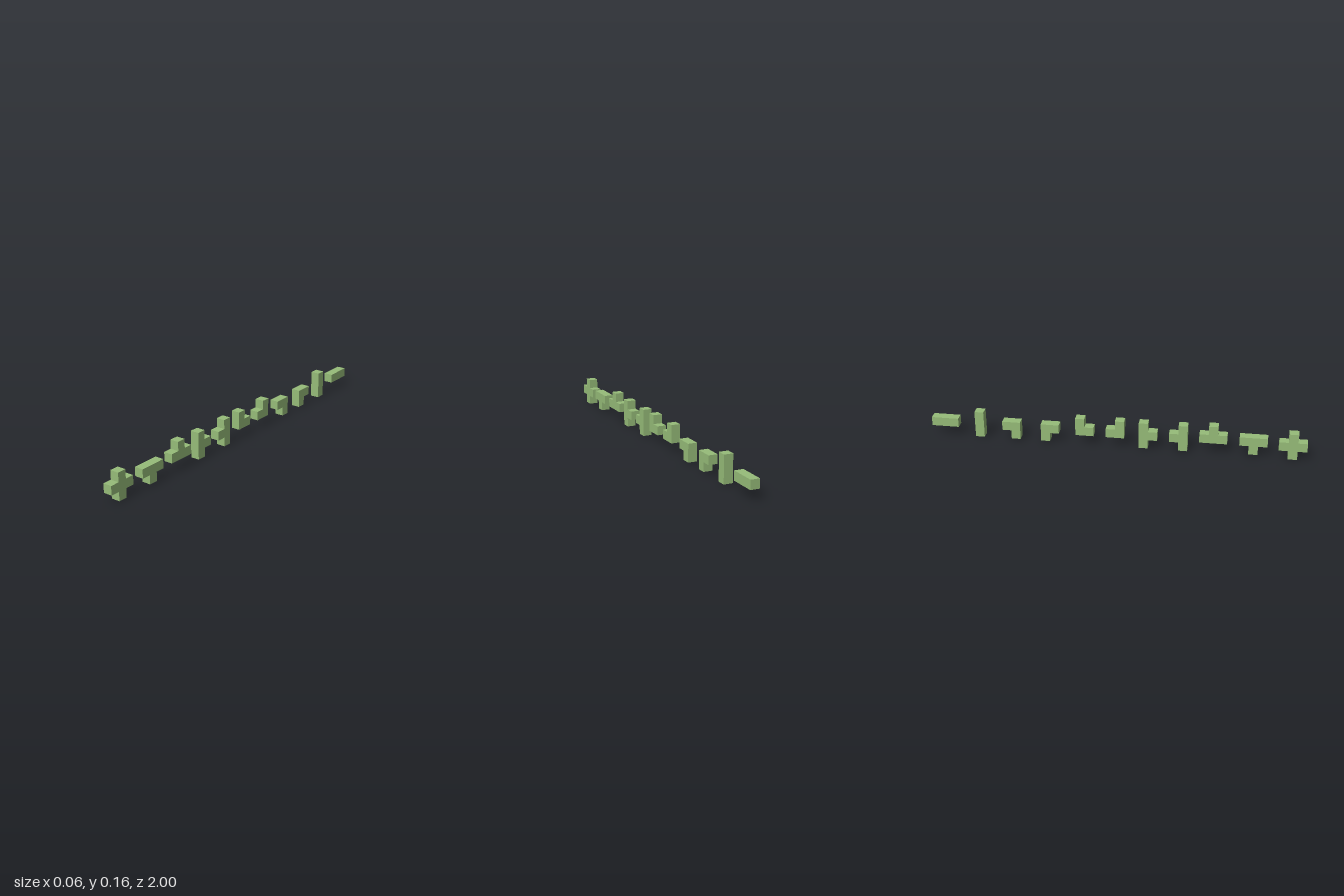
import * as THREE from 'three';

const CELL = 0.0487; // side of one square cell

// Outlines in cells: first number runs along z, second along y
const outlines = {
  cross: [[1, 0], [2, 0], [2, 1], [3, 1], [3, 2], [2, 2], [2, 3], [1, 3], [1, 2], [0, 2], [0, 1], [1, 1]],
  tee: [[1, 0], [2, 0], [2, 1], [3, 1], [3, 2], [0, 2], [0, 1], [1, 1]],
  invertedTee: [[0, 0], [3, 0], [3, 1], [2, 1], [2, 2], [1, 2], [1, 1], [0, 1]],
  sideTee: [[1, 0], [2, 0], [2, 3], [1, 3], [1, 2], [0, 2], [0, 1], [1, 1]],
  elbowUp: [[0, 0], [2, 0], [2, 2], [1, 2], [1, 1], [0, 1]],
  elbowDown: [[0, 0], [1, 0], [1, 1], [2, 1], [2, 2], [0, 2]],
  upright: [[0, 0], [1, 0], [1, 3], [0, 3]],
  bar: [[0, 0], [3, 0], [3, 1], [0, 1]],
};

// name, outline, mirrored along z, centre x, lowest z, lowest y
const pieces = [
  ['crossPiece', 'cross', false, -0.004, 0.854, 0],
  ['teePiece', 'tee', false, 0.003, 0.65, 0.009],
  ['invertedTeePiece', 'invertedTee', false, 0.003, 0.441, 0.059],
  ['backTeePiece', 'sideTee', false, 0, 0.283, 0.003],
  ['frontTeePiece', 'sideTee', true, 0, 0.123, 0.003],
  ['backElbowUp', 'elbowUp', false, 0, -0.052, 0.053],
  ['frontElbowUp', 'elbowUp', true, 0, -0.215, 0.053],
  ['frontElbowDown', 'elbowDown', false, 0, -0.402, 0.005],
  ['backElbowDown', 'elbowDown', true, 0, -0.612, 0.005],
  ['uprightBar', 'upright', false, 0, -0.761, 0.003],
  ['levelBar', 'bar', false, 0, -1, 0.052],
];

export function createModel() {
  const model = new THREE.Group();
  model.name = 'pipeJunctionSet';
  const green = new THREE.MeshStandardMaterial({ color: 0x97bd79 });
  green.name = 'leafGreen';

  for (const [name, key, mirrored, x, z, y] of pieces) {
    const outline = outlines[key];
    const width = Math.max(...outline.map((p) => p[0]));
    const shape = new THREE.Shape(outline.map(([u, v]) =>
      new THREE.Vector2((mirrored ? width - u : u) * CELL, v * CELL)));
    const geometry = new THREE.ExtrudeGeometry(shape, { depth: CELL, bevelEnabled: false });
    geometry.translate(0, 0, -CELL / 2);
    geometry.rotateY(-Math.PI / 2); // outline now lies in the z-y plane
    const mesh = new THREE.Mesh(geometry, green);
    mesh.name = name;
    mesh.position.set(x, y, z);
    model.add(mesh);
  }
  return model;
}
